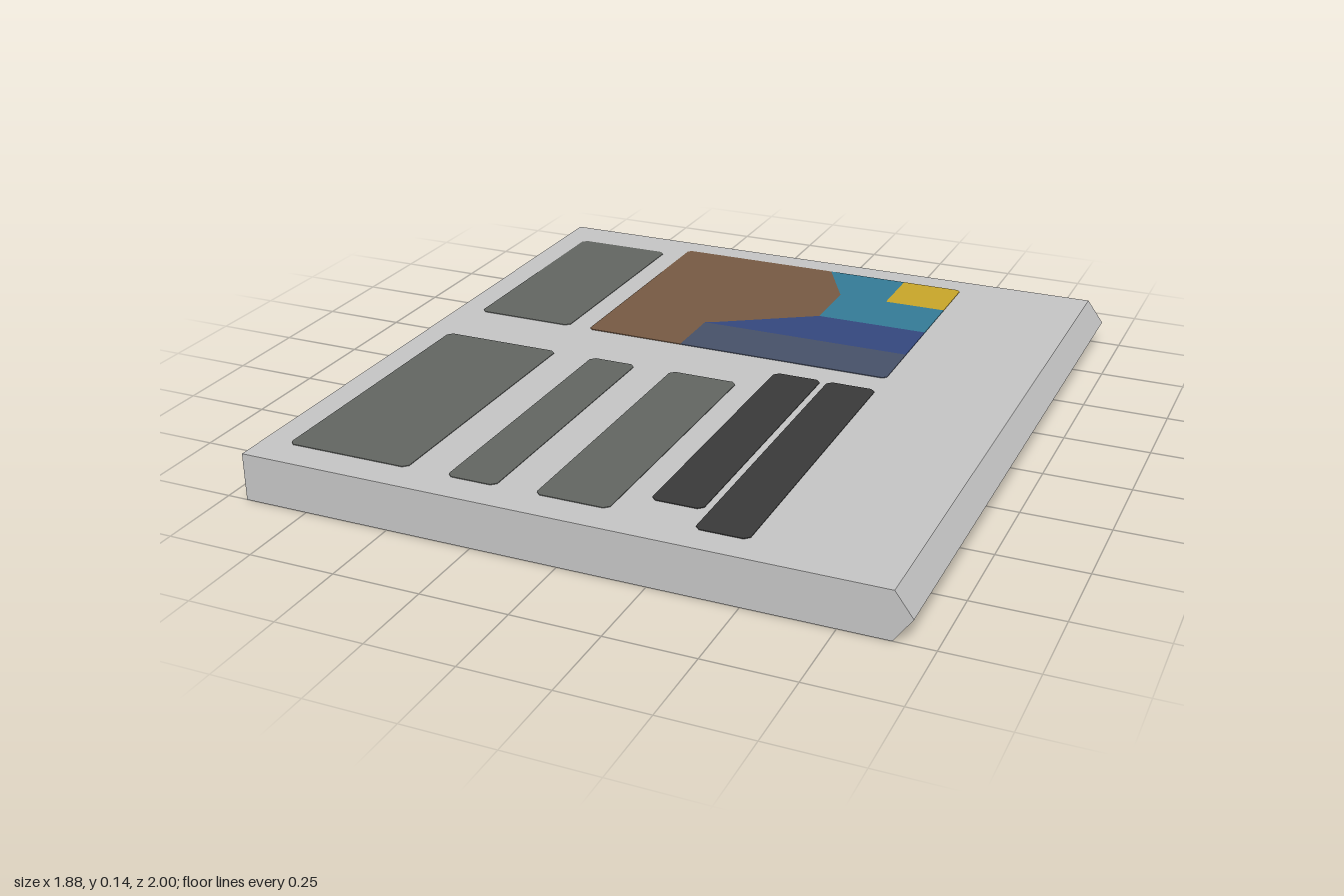
import * as THREE from 'three';

const DECK_Y = 0.138;
const mat = (name, color, open = false) => {
  const m = new THREE.MeshStandardMaterial({ color });
  m.name = name;
  if (open) m.side = THREE.DoubleSide;
  return m;
};

export function createModel() {
  const group = new THREE.Group();
  group.name = 'openTray';
  const shell = mat('light grey', 0xc5c5c5, true);
  const grey = mat('mid grey', 0x636662);
  const dark = mat('charcoal', 0x3a3a3a);
  const brown = mat('brown', 0x775a43);
  const teal = mat('teal', 0x347b97);
  const yellow = mat('yellow', 0xc9a62a);
  const blue = mat('blue', 0x34487f);
  const slate = mat('slate', 0x475169);

  const add = (name, geometry, material) => {
    const mesh = new THREE.Mesh(geometry, material);
    mesh.name = name;
    group.add(mesh);
    return mesh;
  };

  // Flat sheet from a strip of (x, y) points, spanning the full depth
  const sheet = (name, [x0, y0], [x1, y1]) => {
    const g = new THREE.BufferGeometry();
    g.setAttribute('position', new THREE.Float32BufferAttribute(
      [x0, y0, 1, x0, y0, -1, x1, y1, -1, x1, y1, 1], 3));
    g.setIndex([0, 2, 1, 0, 3, 2]);
    g.computeVertexNormals();
    return add(name, g, shell);
  };

  // Deck and pointed edge; the underside and the -x end stay open
  sheet('deck', [-0.94, DECK_Y], [0.89, DECK_Y]);
  sheet('upperBevel', [0.89, DECK_Y], [0.94, 0.07]);
  sheet('lowerBevel', [0.94, 0.07], [0.89, 0]);

  // Front and back walls
  const profile = new THREE.Shape([[-0.94, 0], [0.89, 0], [0.94, 0.07], [0.89, DECK_Y], [-0.94, DECK_Y]]
    .map(([x, y]) => new THREE.Vector2(x, y)));
  for (const [name, z, turn] of [['frontWall', 1, 1], ['backWall', -1, -1]]) {
    const g = new THREE.ShapeGeometry(profile);
    if (turn < 0) { // face outward
      const idx = Array.from(g.index.array).reverse();
      g.setIndex(idx);
      g.computeVertexNormals();
    }
    add(name, g, shell).position.z = z;
  }

  // Painted plate from an (x, z) outline, showing on both faces of the deck
  const plate = (name, outline, material) => {
    const s = new THREE.Shape(outline.map(([x, z]) => new THREE.Vector2(x, -z)));
    const g = new THREE.ExtrudeGeometry(s, { depth: 0.004, bevelEnabled: false });
    g.rotateX(-Math.PI / 2);
    add(name, g, material).position.y = DECK_Y - 0.002;
  };

  // Rectangle with clipped corners
  const block = (x0, x1, z0, z1, c = 0.014) => [
    [x0 + c, z0], [x1 - c, z0], [x1, z0 + c], [x1, z1 - c],
    [x1 - c, z1], [x0 + c, z1], [x0, z1 - c], [x0, z0 + c]];

  [[-0.86, -0.55, -0.87, -0.15], [-0.86, -0.49, 0.05, 0.9],
    [-0.37, -0.225, 0.05, 0.9], [-0.11, 0.1, 0.05, 0.9]]
    .forEach((r, i) => plate(`greyPanel${i + 1}`, block(...r), grey));
  [[0.175, 0.32, -0.06, 0.81], [0.34, 0.487, -0.06, 0.91]]
    .forEach((r, i) => plate(`darkPanel${i + 1}`, block(...r), dark));

  // Coloured picture panel
  plate('brownField', [[-0.47, -0.92], [0.04, -0.92], [0.14, -0.73], [0.14, -0.53],
    [-0.14, -0.355], [-0.17, -0.34], [-0.17, -0.15], [-0.47, -0.15], [-0.48, -0.16], [-0.48, -0.91]], brown);
  plate('tealField', [[0.04, -0.92], [0.295, -0.92], [0.295, -0.73], [0.487, -0.73],
    [0.487, -0.53], [0.14, -0.53], [0.14, -0.73]], teal);
  plate('yellowCorner', [[0.295, -0.92], [0.475, -0.92], [0.487, -0.91], [0.487, -0.73], [0.295, -0.73]], yellow);
  plate('blueBand', [[0.14, -0.53], [0.487, -0.53], [0.487, -0.34], [-0.17, -0.34], [-0.14, -0.355]], blue);
  plate('slateBand', [[-0.17, -0.34], [0.487, -0.34], [0.487, -0.16], [0.475, -0.15], [-0.17, -0.15]], slate);

  return group;
}
